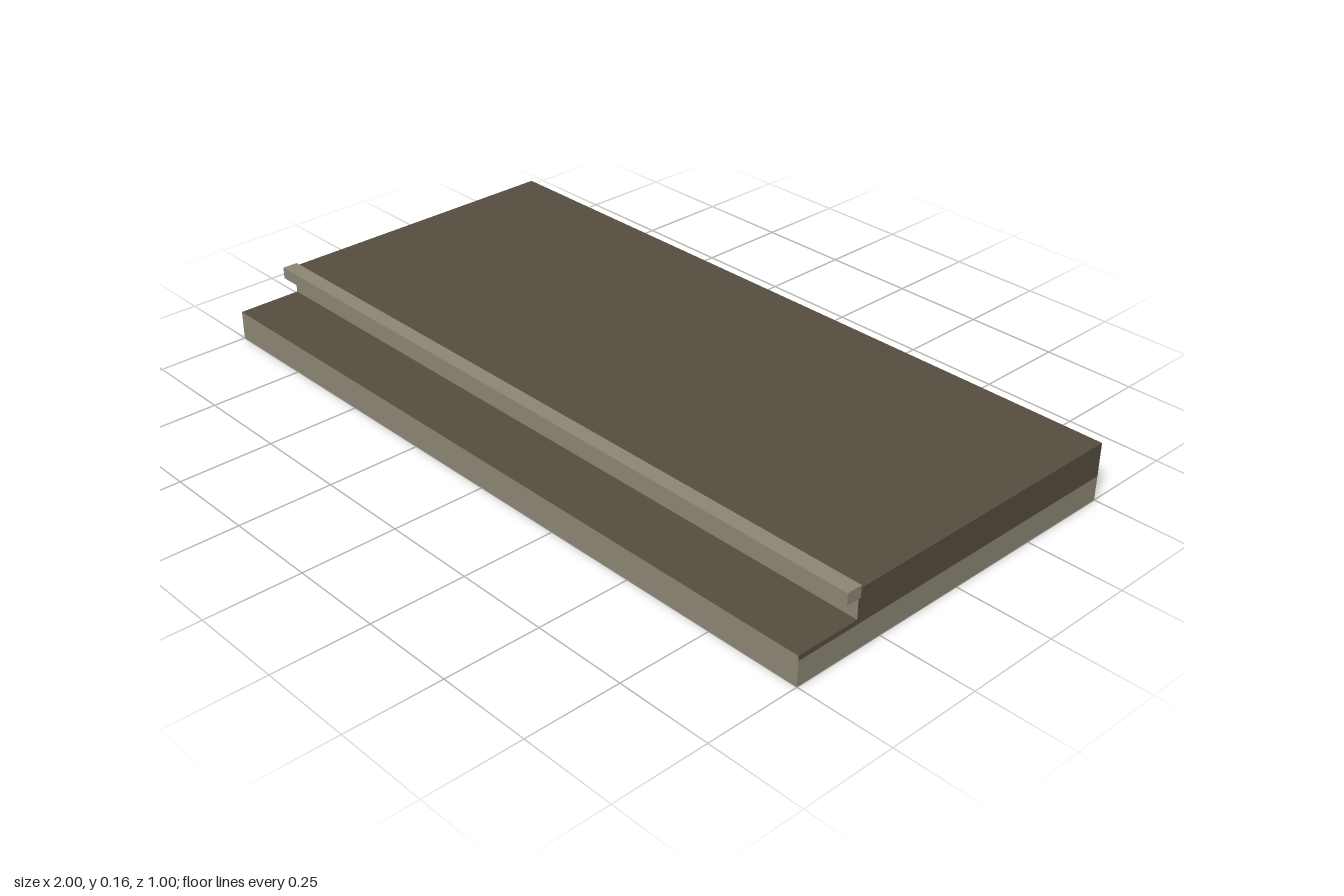
import * as THREE from 'three';

export function createModel() {
  const model = new THREE.Group();
  model.name = 'stairStep';

  const stone = new THREE.MeshStandardMaterial({ color: 0x8c8674 });
  stone.name = 'stone';
  const brown = new THREE.MeshStandardMaterial({ color: 0x574d40 });
  brown.name = 'darkBrown';

  // Brown ends and top, stone underside, front and back
  const clad = [brown, brown, brown, stone, stone, stone];

  // Full-width slab spanning y0..y1 and z0..z1
  function slab(name, y0, y1, z0, z1, material) {
    const mesh = new THREE.Mesh(new THREE.BoxGeometry(2, y1 - y0, z1 - z0), material);
    mesh.position.set(0, (y0 + y1) / 2, (z0 + z1) / 2);
    mesh.name = name;
    model.add(mesh);
  }

  const baseTop = 0.065, lowTop = 0.078, highTop = 0.154;
  const noseBottom = 0.13, noseTop = 0.161, noseBack = 0.319, noseFront = 0.361;

  slab('base', 0, baseTop, -0.5, 0.5, stone);
  slab('lowerTread', baseTop, lowTop, -0.5, 0.5, clad);
  slab('upperTread', lowTop, highTop, -0.5, noseBack, clad);
  // Riser face, tucked under the nosing
  slab('riser', lowTop, noseBottom, noseBack, 0.326, clad);
  // Square bar overhanging the riser
  slab('nosing', noseBottom, noseTop, noseBack, noseFront, stone);

  return model;
}
